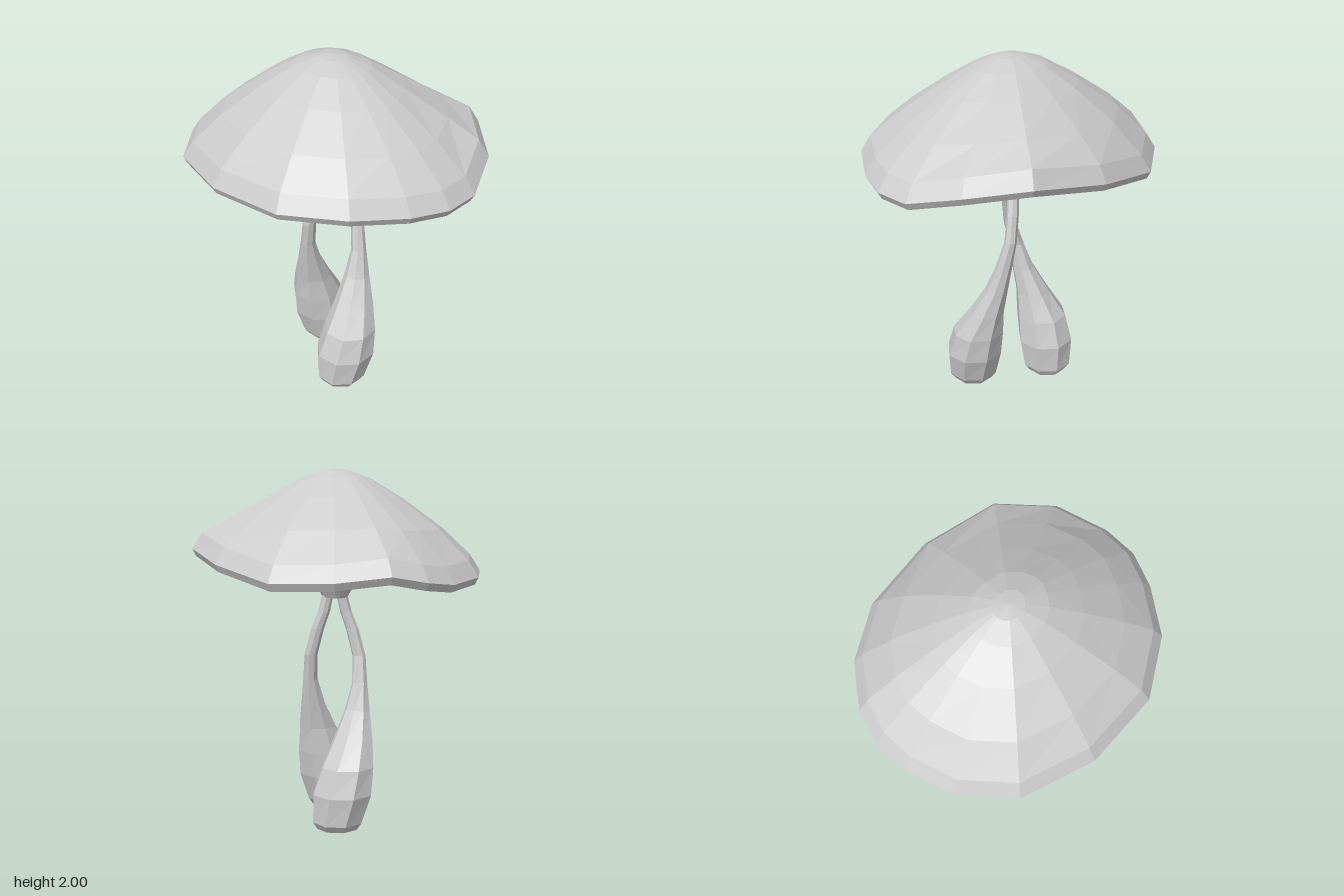
import * as THREE from 'three';

const material = () => new THREE.MeshStandardMaterial({ color: 0xcccccc, flatShading: true, side: THREE.DoubleSide });

// Skin a stack of rings (arrays of Vector3, running from +x towards +z).
function loft(rings, name) {
  const pos = [];
  const tri = (a, b, c) => {
    if (a.equals(b) || b.equals(c) || a.equals(c)) return;
    for (const p of [a, b, c]) pos.push(p.x, p.y, p.z);
  };
  for (let i = 0; i < rings.length - 1; i++) {
    const lo = rings[i], hi = rings[i + 1], n = lo.length;
    for (let j = 0; j < n; j++) {
      const k = (j + 1) % n;
      tri(lo[j], hi[j], lo[k]);
      tri(lo[k], hi[j], hi[k]);
    }
  }
  const geometry = new THREE.BufferGeometry();
  geometry.setAttribute('position', new THREE.Float32BufferAttribute(pos, 3));
  geometry.computeVertexNormals();
  const mesh = new THREE.Mesh(geometry, material());
  mesh.name = name;
  return mesh;
}

// Wavy rim of the cap: x, z, y of each corner
const RIM = [
  [0.80, -0.095, 1.555], [0.812, 0.25, 1.52], [0.705, 0.53, 1.45], [0.565, 0.675, 1.45],
  [0.365, 0.76, 1.46], [0.065, 0.812, 1.48], [-0.29, 0.735, 1.475], [-0.62, 0.45, 1.46],
  [-0.815, 0.075, 1.435], [-0.80, -0.26, 1.42], [-0.67, -0.52, 1.40], [-0.545, -0.67, 1.42],
  [-0.37, -0.765, 1.455], [-0.09, -0.818, 1.425], [0.25, -0.745, 1.415], [0.58, -0.47, 1.49],
];

// Ring of the cap: scale of the rim, mean height, share of the rim's waviness
const capRing = ([s, y, wave]) =>
  RIM.map(([x, z, h]) => new THREE.Vector3(x * s, y + (h - 1.46) * wave, z * s));

function makeCap() {
  const cap = new THREE.Group();
  cap.name = 'cap';
  const lip = [0.975, 1.42, 1];
  // Outer shell, from the lip up to the peak
  const shell = [lip, [1, 1.46, 1], [0.93, 1.55, 1], [0.73, 1.69, 0.4], [0.46, 1.842, 0.1],
    [0.245, 1.947, 0], [0.1, 1.99, 0], [0, 2, 0]];
  // Hollow underside, from the funnel above the stems out to the lip
  const under = [[0, 1.275, 0], [0.085, 1.28, 0], [0.11, 1.315, 0], [0.16, 1.37, 0], [0.21, 1.42, 0],
    [0.28, 1.465, 0], [0.4, 1.51, 0.1], [0.72, 1.5, 0.5], [0.93, 1.43, 1], lip];
  cap.add(loft(shell.map(capRing), 'capShell'), loft(under.map(capRing), 'capUnderside'));
  return cap;
}

// Stem cross-sections: y, centre x, centre z, radius x, radius z
const STEM = [
  [0, 0.04, 0.225, 0, 0],
  [0, 0.04, 0.225, 0.115, 0.11],
  [0.04, 0.043, 0.225, 0.14, 0.14],
  [0.2, 0.068, 0.215, 0.167, 0.16],
  [0.35, 0.095, 0.19, 0.147, 0.145],
  [0.5, 0.12, 0.137, 0.109, 0.096],
  [0.65, 0.137, 0.08, 0.07, 0.063],
  [0.8, 0.147, 0.037, 0.042, 0.045],
  [0.95, 0.138, 0, 0.037, 0.034],
  [1.1, 0.098, -0.012, 0.035, 0.033],
  [1.2, 0.06, -0.015, 0.032, 0.032],
  [1.3, 0.038, -0.012, 0.03, 0.032],
];

function makeStem(name) {
  const sides = 8;
  const rings = STEM.map(([y, cx, cz, rx, rz]) => Array.from({ length: sides }, (_, j) => {
    const a = ((j + 0.5) / sides) * Math.PI * 2 - y * 0.3;
    return new THREE.Vector3(cx + Math.cos(a) * rx * 1.04, y, cz + Math.sin(a) * rz * 1.04);
  }));
  return loft(rings, name);
}

export function createModel() {
  const model = new THREE.Group();
  model.name = 'mushroom';
  // Two bulbous stems, one the half-turn of the other
  const frontStem = makeStem('frontStem');
  const backStem = makeStem('backStem');
  backStem.rotation.y = Math.PI;
  model.add(makeCap(), frontStem, backStem);
  return model;
}
